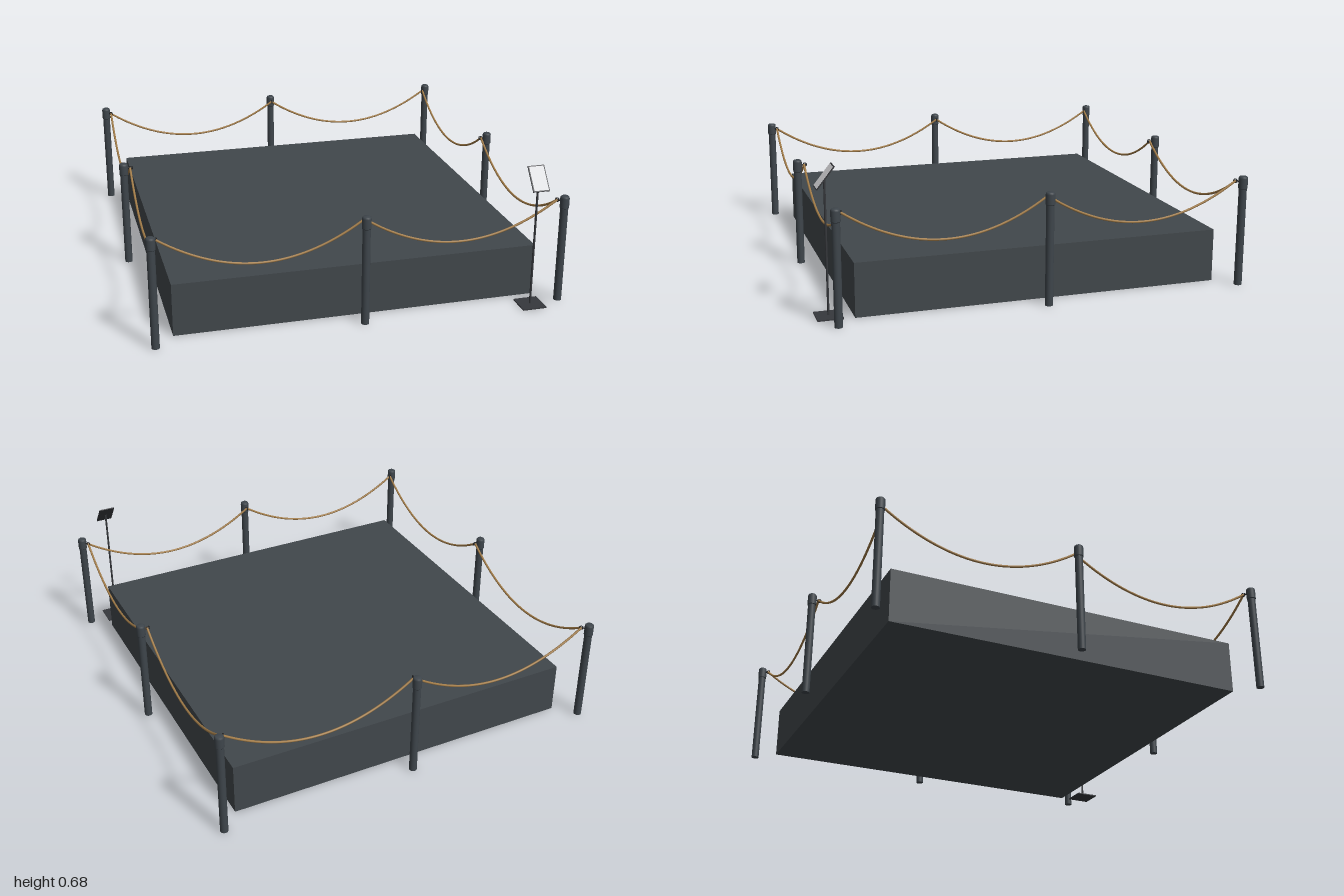
import * as THREE from 'three';

const mat = (name, color) => new THREE.MeshStandardMaterial({ name, color });

export function createModel() {
  const slate = mat('slate', 0x41474b);
  const postPaint = mat('post paint', 0x3e454b);
  const ropeGold = mat('rope gold', 0xa27c48);
  const hookBlack = mat('hook black', 0x222325);
  const signDark = mat('sign dark', 0x36383c);
  const signPale = mat('sign pale', 0xd8d9db);

  const model = new THREE.Group();
  model.name = 'ropedPlatform';
  const add = (parent, name, geometry, material, x = 0, y = 0, z = 0) => {
    const mesh = new THREE.Mesh(geometry, material);
    mesh.name = name;
    mesh.position.set(x, y, z);
    parent.add(mesh);
    return mesh;
  };

  // Platform and barrier share a centre slightly behind the origin
  const display = new THREE.Group();
  display.name = 'display';
  display.position.z = -0.025;
  model.add(display);
  add(display, 'platform', new THREE.BoxGeometry(1.72, 0.25, 1.72), slate, 0, 0.125, 0);

  // Posts: shaft, rounded cap, and a hook that points at the rope (local -x)
  const shaftGeo = new THREE.CylinderGeometry(0.0185, 0.0185, 0.47, 20);
  const capGeo = new THREE.LatheGeometry([
    [0, 0.464], [0.0195, 0.464], [0.0215, 0.467], [0.0215, 0.467], [0.0215, 0.512],
    [0.02, 0.519], [0.0155, 0.523], [0, 0.524],
  ].map(([r, y]) => new THREE.Vector2(r, y)), 20);
  const hookGeo = new THREE.CylinderGeometry(0.0035, 0.0035, 0.026, 8).rotateZ(Math.PI / 2);
  const ringGeo = new THREE.TorusGeometry(0.0085, 0.0025, 8, 16);
  const addPost = (x, z) => {
    const post = new THREE.Group();
    post.name = 'post';
    post.position.set(x, 0, z);
    post.rotation.y = Math.atan2(-z, x);
    add(post, 'shaft', shaftGeo, postPaint, 0, 0.235, 0);
    add(post, 'cap', capGeo, postPaint);
    add(post, 'hook', hookGeo, hookBlack, -0.03, 0.497, 0);
    add(post, 'hookRing', ringGeo, hookBlack, -0.036, 0.497, 0);
    display.add(post);
  };

  // Sagging rope spans, two for each side
  const half = 0.925;
  const points = [];
  for (let i = 0; i <= 16; i++) {
    const t = i / 16;
    points.push(new THREE.Vector3(t * half, 0.497 - 0.157 * 4 * t * (1 - t), half));
  }
  const ropeGeo = new THREE.TubeGeometry(new THREE.CatmullRomCurve3(points), 40, 0.0055, 8);

  for (let side = 0; side < 4; side++) {
    const a = side * Math.PI / 2;
    const c = Math.round(Math.cos(a)), s = Math.round(Math.sin(a));
    addPost(0.957 * s, 0.957 * c);
    addPost(0.95 * (c + s), 0.95 * (c - s));
    const ropes = new THREE.Group();
    ropes.name = 'sideRopes';
    ropes.rotation.y = a;
    add(ropes, 'rope', ropeGeo, ropeGold);
    add(ropes, 'rope', ropeGeo, ropeGold, -half, 0, 0);
    display.add(ropes);
  }

  // Information stand with a tilted panel
  const stand = new THREE.Group();
  stand.name = 'infoStand';
  stand.position.set(0.803, 0, 0.942);
  model.add(stand);
  add(stand, 'standBase', new THREE.BoxGeometry(0.116, 0.006, 0.116), signDark, 0, 0.003, 0);
  add(stand, 'standPole', new THREE.CylinderGeometry(0.005, 0.005, 0.62, 12), signDark, 0, 0.314, 0);
  const panel = new THREE.Group();
  panel.name = 'panel';
  panel.position.set(0, 0.627, 0.001);
  panel.rotation.x = -Math.atan2(0.08, 0.1);
  add(panel, 'panelFrame', new THREE.BoxGeometry(0.08, 0.126, 0.005), signDark);
  add(panel, 'panelFace', new THREE.BoxGeometry(0.07, 0.116, 0.002), signPale, 0, 0, 0.003);
  stand.add(panel);

  return model;
}
